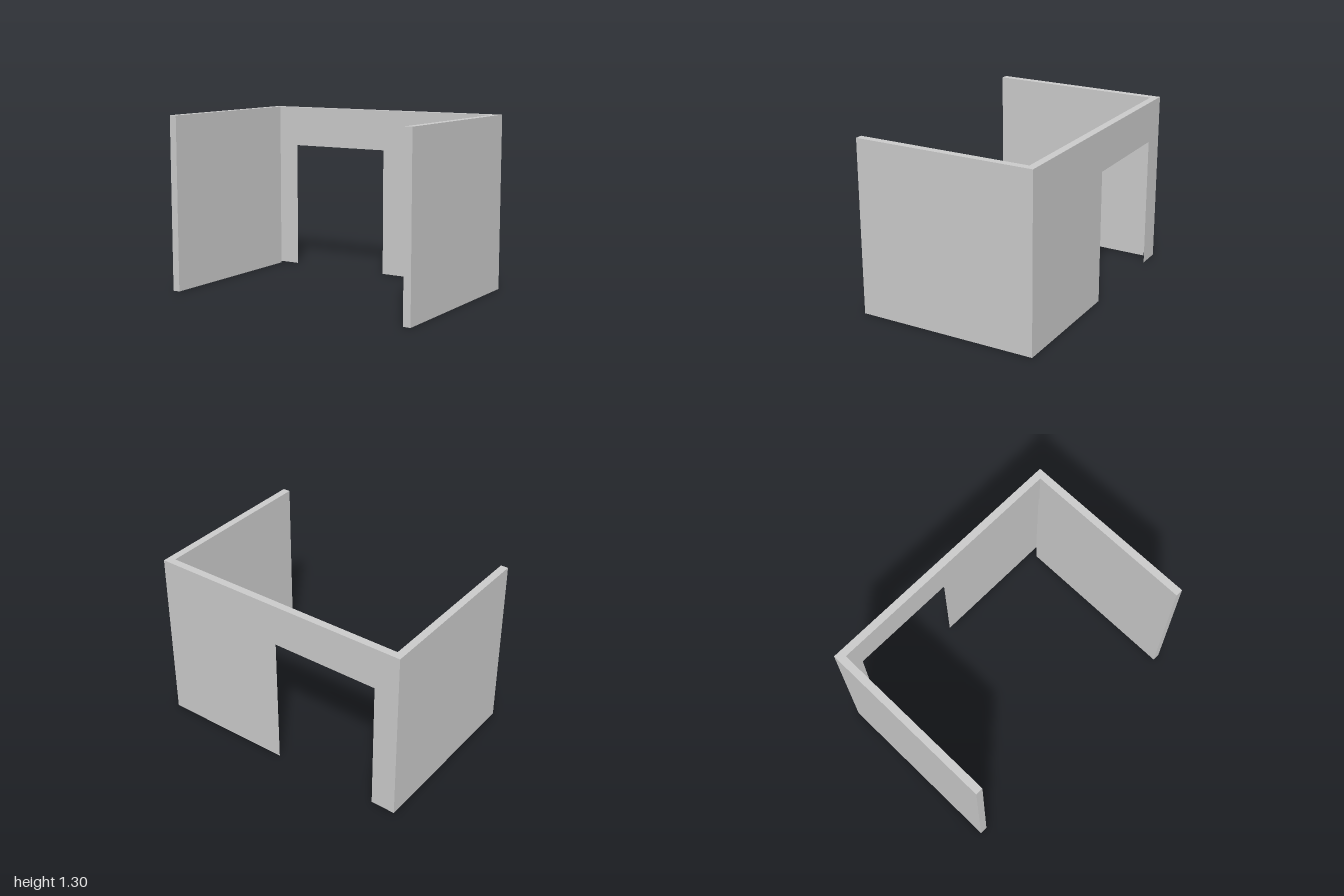
import * as THREE from 'three';

// Three-sided hollow enclosure made of thin sheets, open at the bottom.
const X = 1, H = 1.298, Z = 0.676;      // half width, height, half depth
const T = 0.056;                        // wall thickness
const HEAD = 0.99;                      // underside of the header
const OPEN_L = -0.815, OPEN_R = 0;      // doorway edges

const material = new THREE.MeshStandardMaterial({
  color: 0xcccccc, flatShading: true, side: THREE.DoubleSide,
});

function outline(points) {
  return new THREE.ShapeGeometry(new THREE.Shape(points.map(([x, y]) => new THREE.Vector2(x, y))));
}

function add(parent, name, geometry) {
  const mesh = new THREE.Mesh(geometry, material);
  mesh.name = name;
  parent.add(mesh);
}

// One side wall: outer sheet, inner sheet and front end strip
function sideWall(name, s) {
  const wall = new THREE.Group();
  wall.name = name;
  const turn = s * Math.PI / 2;
  add(wall, 'outerSheet', new THREE.PlaneGeometry(2 * Z, H).rotateY(turn).translate(s * X, H / 2, 0));
  add(wall, 'innerSheet', new THREE.PlaneGeometry(2 * Z - T, H).rotateY(-turn).translate(s * (X - T), H / 2, T / 2));
  add(wall, 'frontEnd', new THREE.PlaneGeometry(T, H).translate(s * (X - T / 2), H / 2, Z));
  return wall;
}

export function createModel() {
  const group = new THREE.Group();
  group.name = 'enclosure';
  group.add(sideWall('leftWall', 1), sideWall('rightWall', -1));

  // Back sheet with the doorway notch, mirrored in x by the half turn
  const back = new THREE.Group();
  back.name = 'backWall';
  add(back, 'backSheet', outline([
    [-X, 0], [-OPEN_R, 0], [-OPEN_R, HEAD], [-OPEN_L, HEAD], [-OPEN_L, 0], [X, 0], [X, H], [-X, H],
  ]).rotateY(Math.PI).translate(0, 0, -Z));

  // Header front and underside
  const inner = 2 * (X - T);
  add(back, 'headerFront', new THREE.PlaneGeometry(inner, H - HEAD).translate(0, (H + HEAD) / 2, -Z + T));
  add(back, 'headerUnderside', new THREE.PlaneGeometry(inner, T).rotateX(Math.PI / 2).translate(0, HEAD, -Z + T / 2));
  group.add(back);

  // U-shaped cap over all three walls
  add(group, 'topCap', outline([
    [-X, -Z], [-X + T, -Z], [-X + T, Z - T], [X - T, Z - T], [X - T, -Z], [X, -Z], [X, Z], [-X, Z],
  ]).rotateX(-Math.PI / 2).translate(0, H, 0));

  return group;
}
